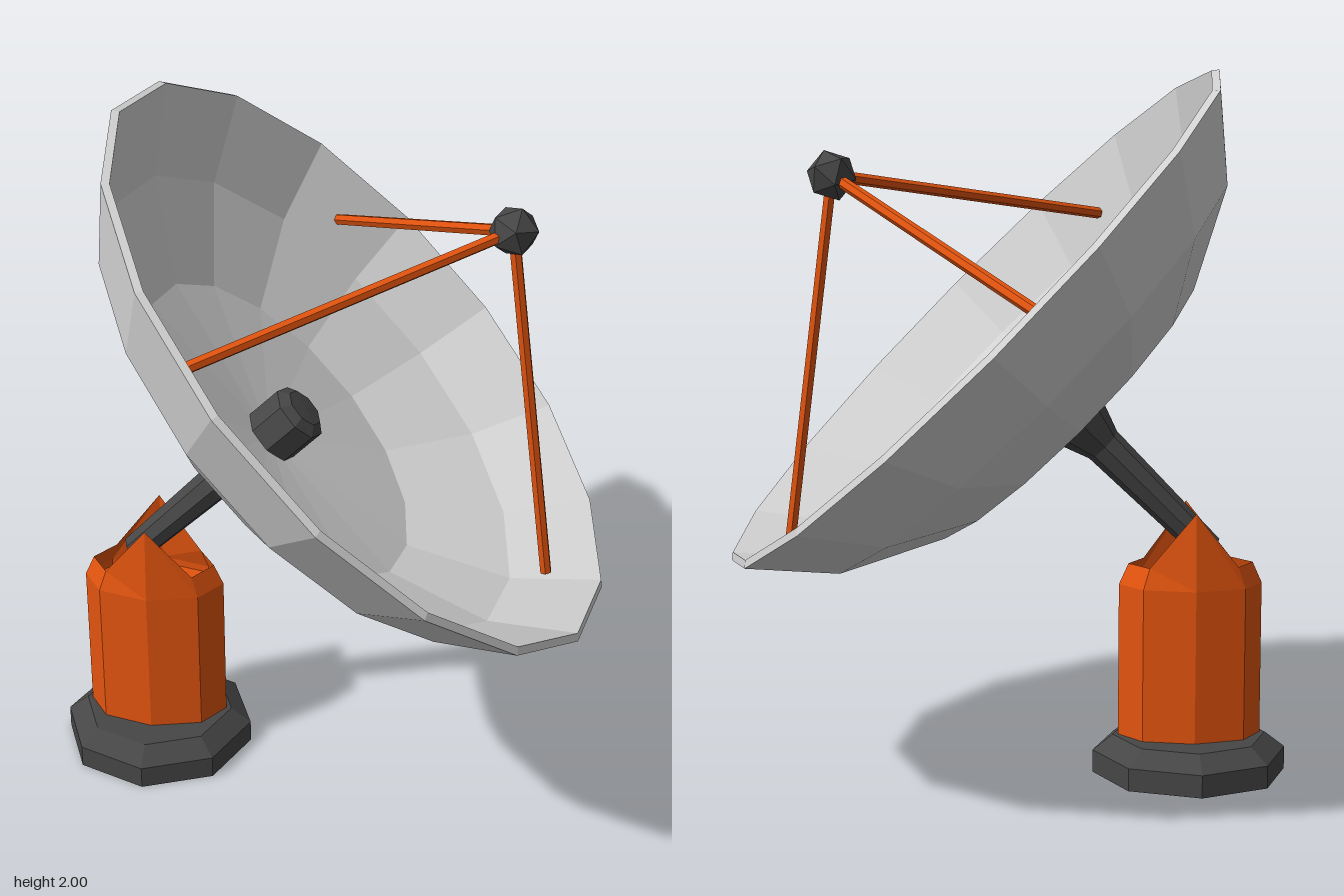
import * as THREE from 'three';

const V2 = (p) => new THREE.Vector2(p[0], p[1]);

function material(name, color, side = THREE.FrontSide) {
  const m = new THREE.MeshStandardMaterial({ color, flatShading: true, side });
  m.name = name;
  return m;
}

function mesh(name, geometry, mat, parent) {
  const m = new THREE.Mesh(geometry, mat);
  m.name = name;
  parent.add(m);
  return m;
}

// Faceted solid of revolution, with an optional rule for moving vertices
function turned(profile, sides, rule) {
  const g = new THREE.LatheGeometry(profile.map(V2), sides);
  if (rule) {
    const p = g.attributes.position;
    const v = new THREE.Vector3();
    for (let i = 0; i < p.count; i++) {
      v.fromBufferAttribute(p, i);
      rule(v);
      p.setXYZ(i, v.x, v.y, v.z);
    }
    g.computeVertexNormals();
  }
  return g;
}

// Straight rod between two points
function rod(name, a, b, radius, mat, parent) {
  const dir = b.clone().sub(a);
  const m = mesh(name, new THREE.CylinderGeometry(radius, radius, dir.length(), 6), mat, parent);
  m.position.copy(a).add(b).multiplyScalar(0.5);
  m.quaternion.setFromUnitVectors(new THREE.Vector3(0, 1, 0), dir.normalize());
  return m;
}

export function createModel() {
  const root = new THREE.Group();
  root.name = 'dishAntenna';
  const grey = material('lightGrey', 0xd2d2d2);
  const dark = material('darkGrey', 0x464647, THREE.DoubleSide);
  const orange = material('orange', 0xe2540f, THREE.DoubleSide);

  // Pedestal: open-bottomed octagonal foot and a narrow column with two pointed ears
  const pedestal = new THREE.Group();
  pedestal.name = 'pedestal';
  pedestal.position.x = -0.513;
  root.add(pedestal);

  mesh('foot', turned([[0.278, 0], [0.278, 0.065], [0.22, 0.11], [0.2, 0.111]], 8, (v) => {
    if (v.y > 0.1105) v.z *= 0.6;
  }), dark, pedestal);

  mesh('column', turned([[0.205, 0.1], [0.205, 0.55], [0.178, 0.61]], 8, (v) => {
    if (v.y > 0.6 && Math.abs(v.x) < 0.01) v.y = 0.77;
    v.z *= 0.6;
  }), orange, pedestal);

  mesh('columnFloor', turned([[0.203, 0.53], [0, 0.53]], 8, (v) => { v.z *= 0.6; }), orange, pedestal);

  // Tilted assembly: local y is the dish axis, origin at the rim centre
  const head = new THREE.Group();
  head.name = 'dishHead';
  head.position.set(0.107, 1.32, 0);
  head.rotation.z = -Math.PI / 4;
  root.add(head);

  mesh('dish', turned([
    [0, -0.41], [0.52, -0.357], [0.795, -0.205], [0.965, -0.004],
    [0.947, 0.01], [0.775, -0.185], [0.505, -0.335], [0, -0.385],
  ], 16), grey, head);

  mesh('arm', turned([
    [0, -0.95], [0.042, -0.95], [0.055, -0.52], [0.095, -0.41], [0, -0.4],
  ], 8), dark, head);

  mesh('hub', turned([[0.088, -0.41], [0.088, -0.265], [0.06, -0.243], [0, -0.24]], 8), dark, head);

  // Receiver held in front of the dish by three struts
  const feed = new THREE.Vector3(0.495, 1.712, -0.015);
  const receiver = mesh('receiver', new THREE.IcosahedronGeometry(0.072, 0), dark, root);
  receiver.position.copy(feed);
  receiver.rotation.set(0.2, 0.3, 0.25);

  const feet = [[-0.31, 1.565, 0.655], [-0.08, 1.365, -0.815], [0.625, 0.66, -0.02]];
  feet.forEach((f, i) => {
    rod('strut' + (i + 1), new THREE.Vector3(...f), feed, 0.017, orange, root);
  });

  return root;
}
